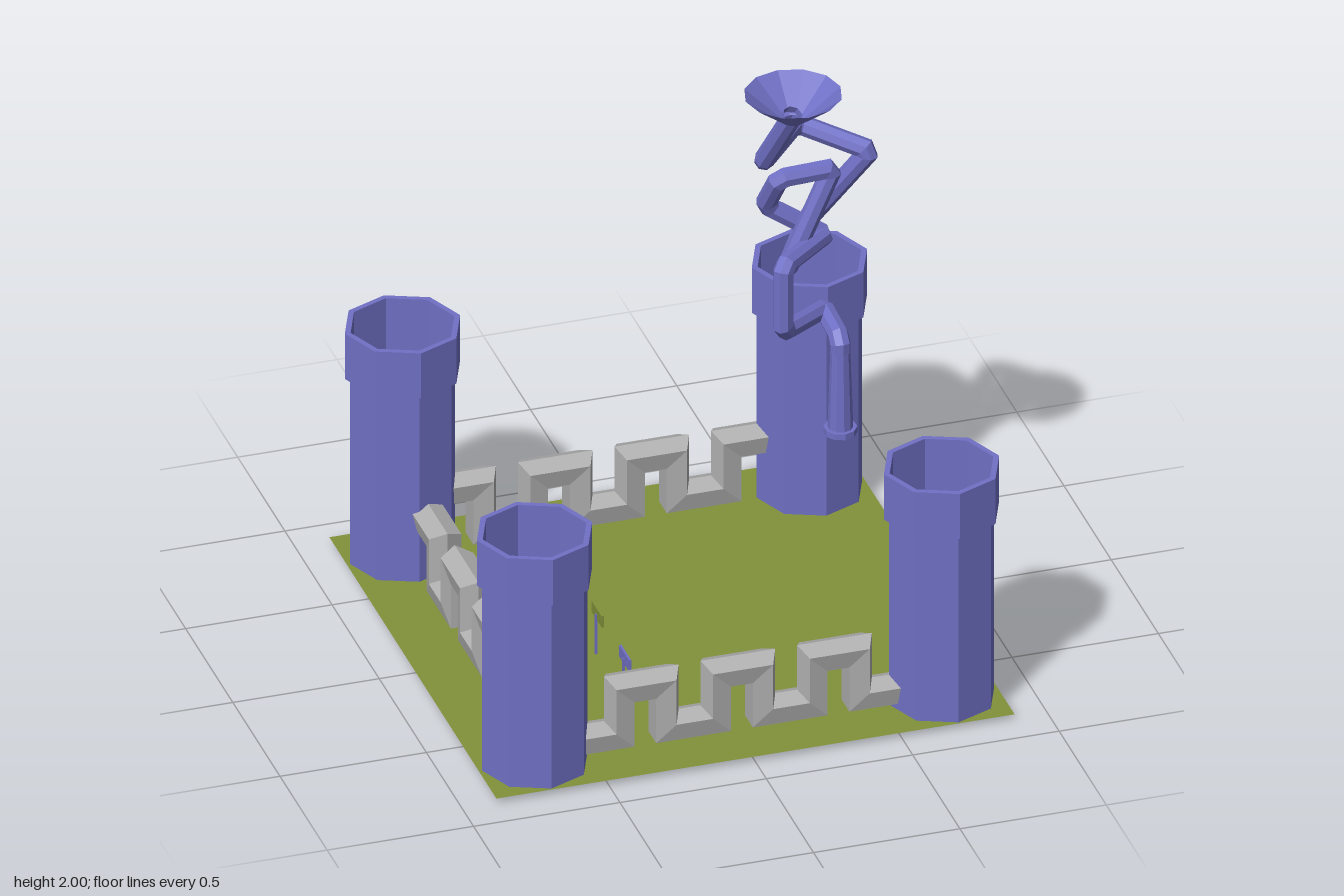
import * as THREE from 'three';

const V = (x, y, z) => new THREE.Vector3(x, y, z);

function material(name, color) {
  const m = new THREE.MeshStandardMaterial({ color, side: THREE.DoubleSide });
  m.name = name;
  return m;
}

// Faceted copy of a geometry
function facet(geo) {
  const g = geo.index ? geo.toNonIndexed() : geo;
  g.computeVertexNormals();
  return g;
}

// Sweep a section [u, v] along a polyline with mitred corners
function sweep(path, section, u) {
  const n = path.length, m = section.length;
  const dirs = path.slice(1).map((p, i) => p.clone().sub(path[i]).normalize());
  u = u.clone().addScaledVector(dirs[0], -u.dot(dirs[0])).normalize();
  const v = dirs[0].clone().cross(u);
  const rings = [section.map(([a, b]) => path[0].clone().addScaledVector(u, a).addScaledVector(v, b))];
  for (let i = 1; i < n; i++) {
    const d = dirs[i - 1];
    const normal = d.clone().add(dirs[Math.min(i, n - 2)]).normalize();
    rings.push(rings[i - 1].map((p) =>
      p.clone().addScaledVector(d, path[i].clone().sub(p).dot(normal) / d.dot(normal))));
  }
  const pos = [];
  const tri = (...ps) => ps.forEach((p) => pos.push(p.x, p.y, p.z));
  for (let i = 0; i < n - 1; i++) {
    for (let j = 0; j < m; j++) {
      const k = (j + 1) % m;
      const [a, b, c, e] = [rings[i][j], rings[i][k], rings[i + 1][k], rings[i + 1][j]];
      tri(a, b, c);
      tri(a, c, e);
    }
  }
  const geo = new THREE.BufferGeometry();
  geo.setAttribute('position', new THREE.Float32BufferAttribute(pos, 3));
  geo.computeVertexNormals();
  return geo;
}

// Cut every inner corner of a polyline
function chamfer(path, cut) {
  return path.flatMap((p, i) => {
    if (i === 0 || i === path.length - 1) return [p];
    return [path[i - 1], path[i + 1]].map((q) => p.clone().addScaledVector(q.clone().sub(p).normalize(), cut));
  });
}

export function createModel() {
  const purple = material('purple', 0x7070c6);
  const green = material('green', 0x81923a);
  const grey = material('grey', 0xb0b0b0);
  const model = new THREE.Group();

  function add(parent, name, geo, mat, x = 0, y = 0, z = 0) {
    const mesh = new THREE.Mesh(geo, mat);
    mesh.name = name;
    mesh.position.set(x, y, z);
    parent.add(mesh);
    return mesh;
  }

  // Ground
  add(model, 'ground', new THREE.PlaneGeometry(1.77, 1.77).rotateX(-Math.PI / 2), green, 0, 0.02, 0);

  // Hollow octagonal corner towers
  const towerProfile = [
    [0.18, 0.021], [0.18, 0.72], [0.197, 0.72], [0.197, 0.89], [0.177, 0.89], [0.177, 0.03], [0, 0.03],
  ].map(([r, y]) => new THREE.Vector2(r, y));
  const towerGeo = facet(new THREE.LatheGeometry(towerProfile, 8));
  for (const x of [-0.695, 0.695]) {
    for (const z of [-0.7, 0.7]) add(model, 'tower', towerGeo, purple, x, 0, z);
  }

  // Meandering walls with a ridged section
  const ridge = [[0.045, 0], [0.02, 0.056], [-0.045, 0.042], [-0.045, -0.042], [0.02, -0.056]];
  function wall(name, startHigh, toPoint) {
    let high = startHigh;
    const level = () => (high ? 0.255 : 0.088);
    const path = [toPoint(-0.6, level())];
    for (let i = 0; i < 6; i++) {
      const t = -0.413 + i * 0.165;
      path.push(toPoint(t, level()));
      high = !high;
      path.push(toPoint(t, level()));
    }
    path.push(toPoint(0.6, level()));
    add(model, name, sweep(path, ridge, V(0, 1, 0)), grey);
  }
  wall('frontWall', false, (t, y) => V(t, y, 0.7));
  wall('backWall', true, (t, y) => V(t - 0.008, y, -0.7));
  wall('leftWall', true, (t, y) => V(-0.66, y, t + 0.037));

  // Small signs
  [[0.385, 0.163, purple], [0.095, 0.168, green], [-0.265, 0.158, grey]].forEach(([z, y, mat]) => {
    const sign = new THREE.Group();
    sign.name = 'sign';
    sign.position.set(-0.29, 0, z);
    model.add(sign);
    add(sign, 'signPost', new THREE.BoxGeometry(0.008, y, 0.008), purple, 0, y / 2, 0);
    add(sign, 'signBoard', new THREE.BoxGeometry(0.008, 0.042, 0.105), mat, 0.006, y, 0);
  });

  // Floating bent pipe
  const pipe = new THREE.Group();
  pipe.name = 'bentPipe';
  model.add(pipe);
  const circle = Array.from({ length: 8 }, (_, i) => {
    const a = (i / 8) * Math.PI * 2;
    return [0.034 * Math.cos(a), 0.034 * Math.sin(a)];
  });
  const route = [
    V(0.575, 0.95, 0), V(0.575, 1.0, 0), V(0.575, 1.015, -0.175), V(0.38, 1.06, 0),
    V(0.38, 1.305, 0), V(0.58, 1.29, -0.18), V(0.385, 1.42, -0.21), V(0.405, 1.565, -0.12),
    V(0.59, 1.565, -0.13), V(0.43, 1.205, -0.13), V(0.575, 1.255, -0.35), V(0.745, 1.56, -0.21),
    V(0.54, 1.615, -0.365), V(0.33, 1.67, -0.065), V(0.386, 1.92, 0.085),
  ];
  add(pipe, 'bentTube', sweep(chamfer(route, 0.022), circle, V(1, 0, 0)), purple);
  add(pipe, 'pipeFoot', facet(new THREE.CylinderGeometry(0.032, 0.042, 0.31, 10, 1, true)), purple, 0.575, 0.82, 0);
  add(pipe, 'footFlange', facet(new THREE.CylinderGeometry(0.055, 0.055, 0.022, 10)), purple, 0.575, 0.657, 0);
  add(pipe, 'funnel', facet(new THREE.CylinderGeometry(0.162, 0.036, 0.1, 12, 1, true)), purple, 0.386, 1.95, 0.085);

  return model;
}
